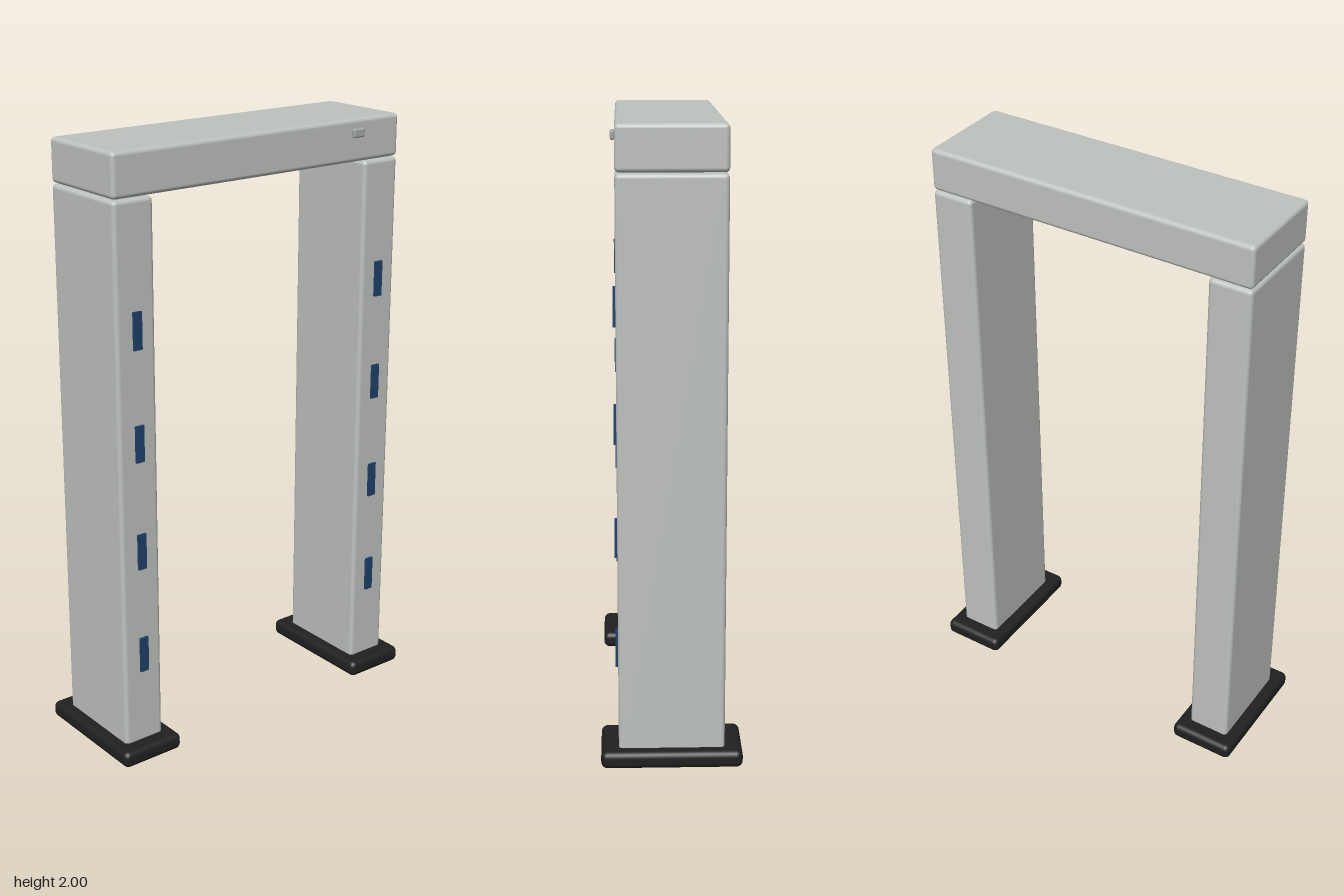
import * as THREE from 'three';
import { RoundedBoxGeometry } from 'three/addons/geometries/RoundedBoxGeometry.js';

const material = (name, color) => {
  const m = new THREE.MeshStandardMaterial({ color });
  m.name = name;
  return m;
};

export function createModel() {
  const group = new THREE.Group();
  const shell = material('pale grey shell', 0xbec2be);
  const rubber = material('black rubber', 0x202020);
  const blue = material('dark blue light', 0x1f406a);
  const grey = material('sensor grey', 0xa6aaa8);

  const add = (name, geometry, mat, x, y, z) => {
    const mesh = new THREE.Mesh(geometry, mat);
    mesh.name = name;
    mesh.position.set(x, y, z);
    group.add(mesh);
  };

  // Shared shapes
  const foot = new RoundedBoxGeometry(0.223, 0.056, 0.446, 4, 0.02);
  const post = new RoundedBoxGeometry(0.144, 1.85, 0.335, 4, 0.014);
  const light = new THREE.BoxGeometry(0.03, 0.12, 0.009);

  // Two mirrored uprights, each with a foot and four indicator strips
  for (const [side, s] of [['left', 1], ['right', -1]]) {
    add(side + 'Foot', foot, rubber, s * 0.492, 0.028, 0);
    add(side + 'Post', post, shell, s * 0.492, 0.932, 0);
    for (let i = 0; i < 4; i++) {
      add(side + 'Light' + (i + 1), light, blue, s * 0.49, 0.367 + i * 0.363, 0.1715);
    }
  }

  // Crossbeam and its small sensor button
  add('crossbeam', new RoundedBoxGeometry(1.128, 0.14, 0.335, 4, 0.014), shell, 0, 1.93, 0);
  add('sensorButton', new RoundedBoxGeometry(0.046, 0.029, 0.014, 3, 0.006), grey, 0.383, 1.955, 0.174);

  return group;
}
